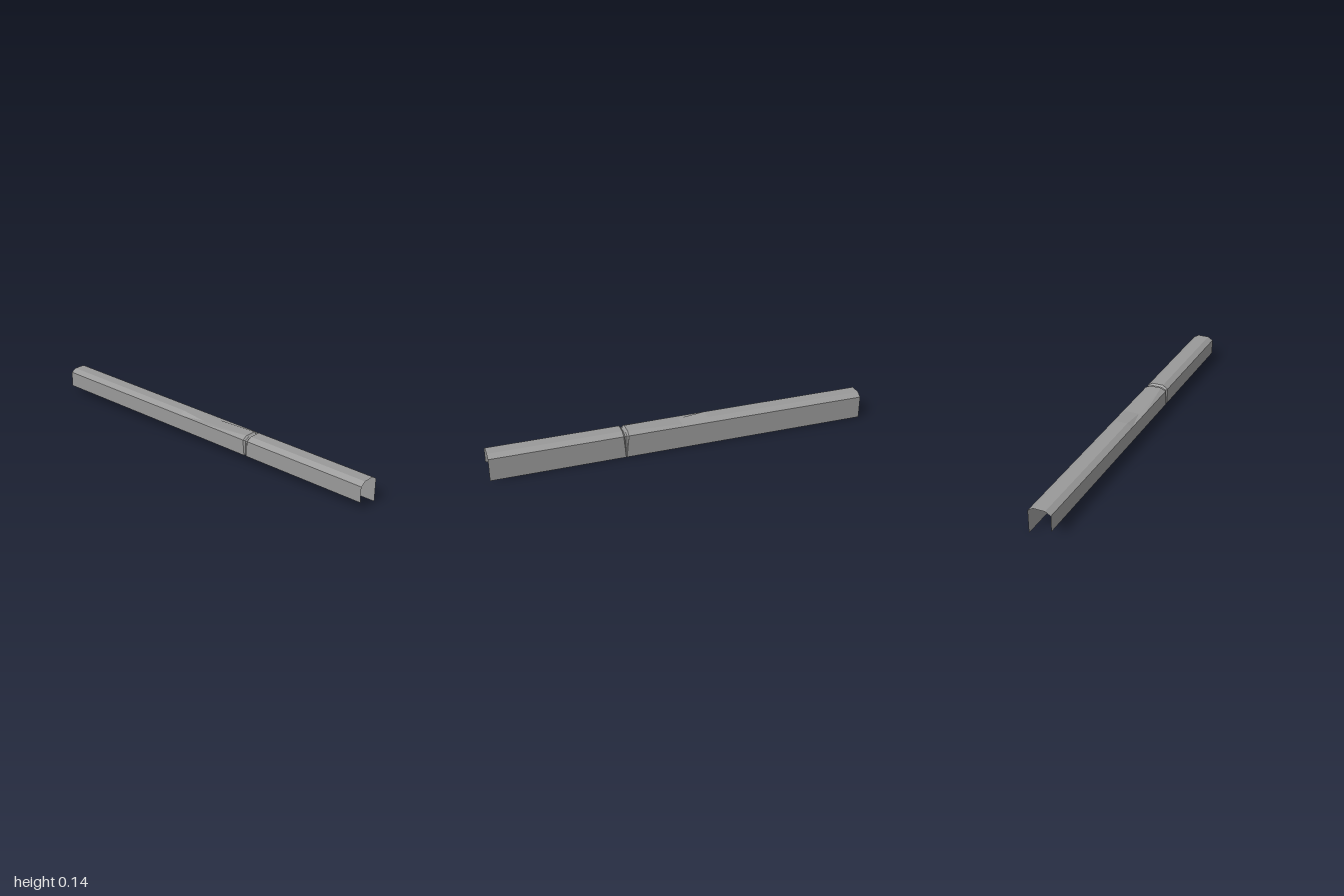
import * as THREE from 'three';

// Outline of the bent sheet at one station, from the short right wall over the top to the tall left wall.
// z: station at the top, foot: station at the wall bottoms, ridge: height of the flat top, inset: pinch depth
function section({ z, foot = z, ridge = 0.139, inset = 0 }) {
  const side = 0.058 - inset, eave = 0.122 - inset * 0.6, top = 0.03 - inset * 0.4;
  return [
    [-side, 0.04, foot + (z - foot) * 0.33],
    [-side, eave, z],
    [-top, ridge, z],
    [top, ridge, z],
    [side, eave, z],
    [side - 0.001, 0, foot],
  ].map((p) => new THREE.Vector3(...p));
}

// Join neighbouring sections with flat-shaded quads
function loft(sections) {
  const points = [];
  for (let i = 0; i < sections.length - 1; i++) {
    const s = sections[i], t = sections[i + 1];
    for (let j = 0; j < s.length - 1; j++) {
      points.push(s[j], s[j + 1], t[j], s[j + 1], t[j + 1], t[j]);
    }
  }
  const geometry = new THREE.BufferGeometry().setFromPoints(points);
  geometry.computeVertexNormals();
  return geometry;
}

export function createModel() {
  const group = new THREE.Group();
  group.name = 'bentChannel';
  const steel = new THREE.MeshStandardMaterial({ color: 0x999999, side: THREE.DoubleSide, flatShading: true });
  steel.name = 'grey steel';

  const front = { z: 0.318, foot: 0.307 };
  const floorFront = { z: 0.309, foot: 0.306, ridge: 0.13, inset: 0.008 };
  const floorBack = { z: 0.299, foot: 0.304, ridge: 0.13, inset: 0.008 };
  const back = { z: 0.29, foot: 0.303, ridge: 0.136 };

  const parts = {
    frontChannel: [{ z: 1 }, front],
    // Pinched groove that narrows towards the foot of each wall
    crease: [front, floorFront, floorBack, back],
    // Long channel with a shallow dent in its top
    rearChannel: [back, { z: 0, ridge: 0.124 }, { z: -0.14 }, { z: -1 }],
  };
  for (const [name, stations] of Object.entries(parts)) {
    const mesh = new THREE.Mesh(loft(stations.map(section)), steel);
    mesh.name = name;
    group.add(mesh);
  }
  return group;
}
